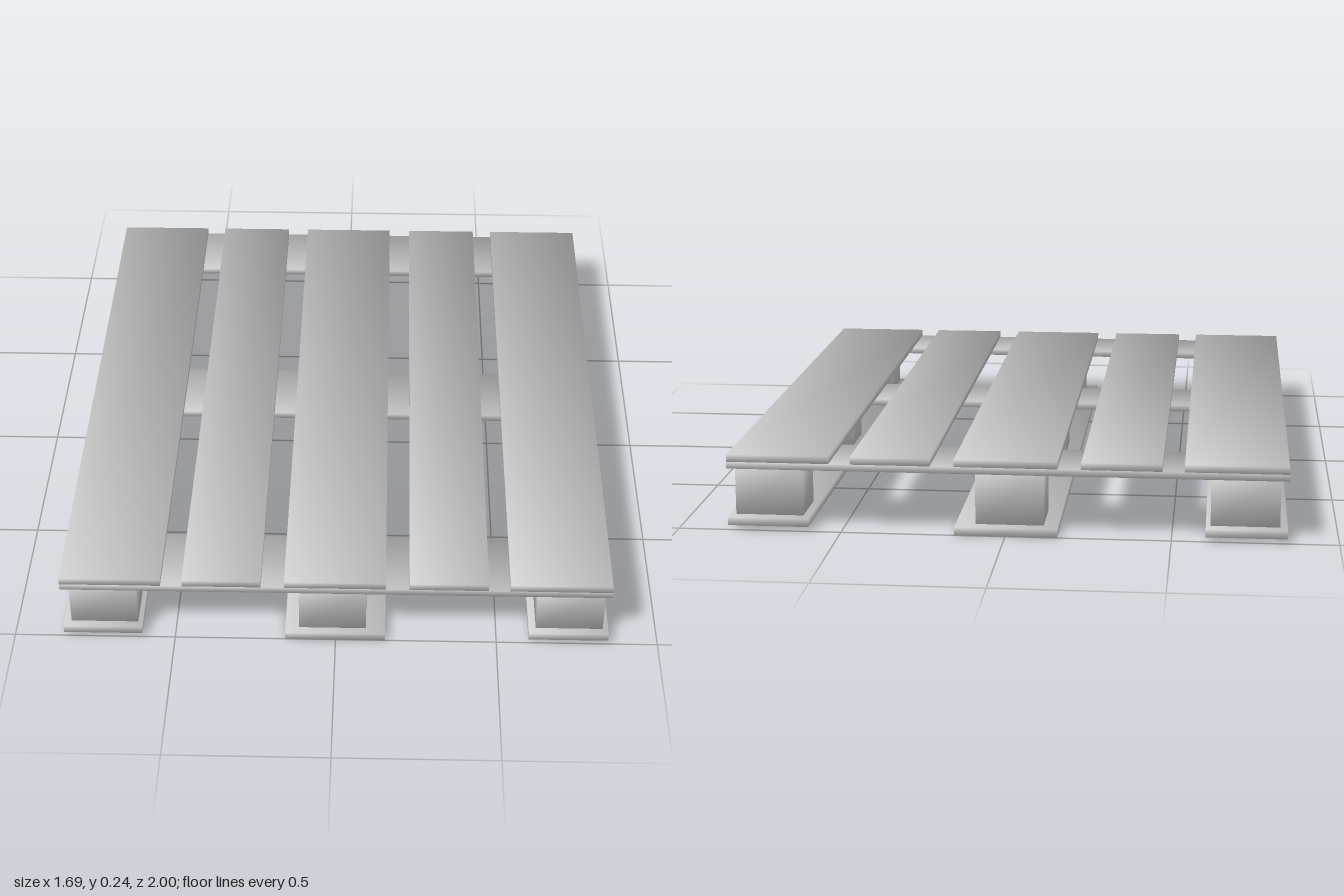
import * as THREE from 'three';

const material = new THREE.MeshStandardMaterial({ color: 0xcccccc });

// Box given by its extents, with corner normals shared by the three faces (soft shading)
function softBox(name, [x0, x1], [y0, y1], [z0, z1]) {
  const geo = new THREE.BoxGeometry(x1 - x0, y1 - y0, z1 - z0);
  const pos = geo.attributes.position;
  const n = new THREE.Vector3();
  for (let i = 0; i < pos.count; i++) {
    n.set(Math.sign(pos.getX(i)), Math.sign(pos.getY(i)), Math.sign(pos.getZ(i))).normalize();
    geo.attributes.normal.setXYZ(i, n.x, n.y, n.z);
  }
  const mesh = new THREE.Mesh(geo, material);
  mesh.name = name;
  mesh.position.set((x0 + x1) / 2, (y0 + y1) / 2, (z0 + z1) / 2);
  return mesh;
}

export function createModel() {
  const pallet = new THREE.Group();
  pallet.name = 'pallet';
  const halfX = 0.847;
  const fullZ = [-1, 1];
  const crossY = [0.192, 0.213];

  // Deck boards running front to back: wide, narrow, wide, narrow, wide
  const deckBoards = [[-halfX, -0.537], [-0.471, -0.229], [-0.157, 0.154], [0.227, 0.469], [0.535, halfX]];
  for (const x of deckBoards) pallet.add(softBox('deckBoard', x, [0.213, 0.236], fullZ));

  // Cross boards under the deck
  for (const z of [[-1, -0.757], [-0.122, 0.12], [0.757, 1]]) {
    pallet.add(softBox('crossBoard', [-halfX, halfX], crossY, z));
  }

  // Bottom runners with three spacer blocks each; the middle runner sits lower
  const runners = [
    { x: [-halfX, -0.602], y: [0.014, 0.039], blockX: -0.72 },
    { x: [-0.157, 0.154], y: [0, 0.026], blockX: -0.01 },
    { x: [0.6, halfX], y: [0.014, 0.039], blockX: 0.726 },
  ];
  for (const { x, y, blockX } of runners) {
    pallet.add(softBox('bottomRunner', x, y, fullZ));
    for (const z of [-0.88, 0, 0.893]) {
      pallet.add(softBox('spacerBlock', [blockX - 0.104, blockX + 0.104], [y[1], crossY[0]], [z - 0.081, z + 0.081]));
    }
  }
  return pallet;
}
